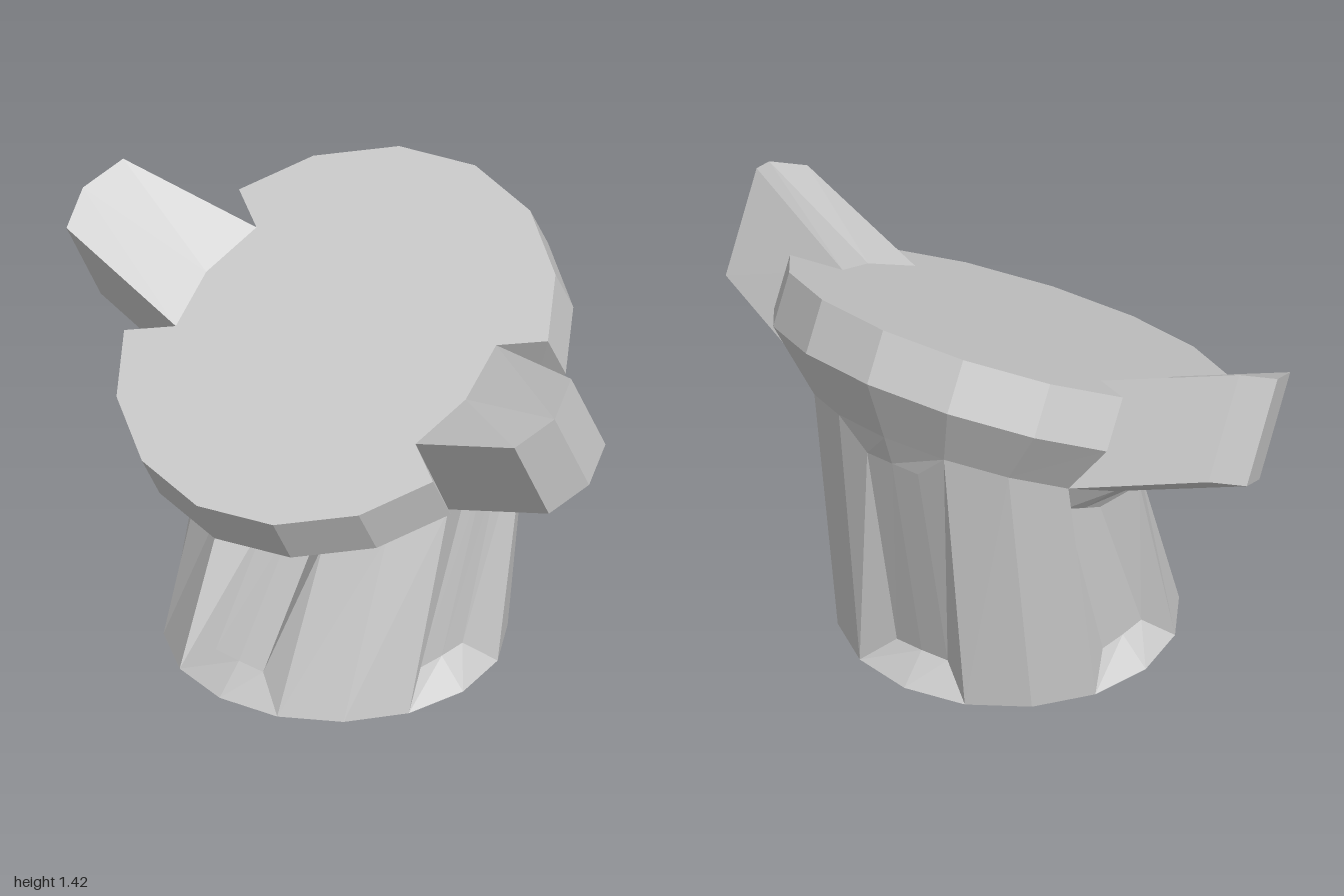
import * as THREE from 'three';

const STEP = 22.5; // sixteen-sided rounds
const TILT = Math.atan(0.504);

// A level is a plane with its centre at (0, y, z), tipped forward by tilt.
// point() puts a polar point on it: angle 0 is the front, 90 is +x.
const level = (y, z, tilt = TILT) => (angle, r) => {
  const a = THREE.MathUtils.degToRad(angle);
  const v = r * Math.cos(a);
  return new THREE.Vector3(r * Math.sin(a), y - v * Math.sin(tilt), z + v * Math.cos(tilt));
};
const base = level(0, 0.042, 0);
const grooveLow = level(0.095, 0.042, 0);
const grooveHigh = level(0.685, -0.16);
const neck = level(0.765, -0.12);
const rimLow = level(0.932, -0.043);
const top = level(1.092, 0.04);
const branchLow = level(0.93, -0.04);
const branchHigh = level(1.25, 0.12);

const R = { trunk: 0.54, groove: 0.458, rim: 0.726, notch: 0.55 };

// Triangles for a grid of points; rows run upwards, columns to the right.
function grid(rows) {
  const tris = [];
  for (let i = 0; i + 1 < rows.length; i++) {
    for (let j = 0; j + 1 < rows[i].length; j++) {
      const a = rows[i][j], b = rows[i][j + 1], c = rows[i + 1][j + 1], d = rows[i + 1][j];
      if (!a.equals(b)) tris.push(a, b, c);
      if (!c.equals(d)) tris.push(a, c, d);
    }
  }
  return tris;
}

// Four rows of three points, closed by a wall at either side.
function boxedGrid([r0, r1, r2, r3]) {
  return [
    ...grid([r0, r1, r2, r3]),
    ...grid([[r0[0], r1[0]], [r3[0], r2[0]]]),
    ...grid([[r1[2], r0[2]], [r2[2], r3[2]]]),
  ];
}

function range(from, to) {
  const angles = [];
  for (let a = from; a <= to; a += STEP) angles.push(a);
  return angles;
}

export function createModel() {
  const model = new THREE.Group();
  model.name = 'treeStump';
  const material = new THREE.MeshStandardMaterial({ color: 0xcccccc, flatShading: true });

  function add(name, points) {
    const geometry = new THREE.BufferGeometry().setFromPoints(points);
    geometry.computeVertexNormals();
    const mesh = new THREE.Mesh(geometry, material);
    mesh.name = name;
    model.add(mesh);
  }

  // Leaning trunk: four bark panels with a groove between each pair
  for (const turn of [0, 90, 180, 270]) {
    const panel = range(turn + STEP, turn + 3 * STEP);
    add('trunkPanel', grid([base, neck].map((at) => panel.map((a) => at(a, R.trunk)))));

    const outer = (at) => [-STEP, 0, STEP].map((d) => at(turn + d, R.trunk));
    const inner = (at) => [-12.6, 0, 12.6].map((d) => at(turn + d, d ? R.groove : R.groove - 0.008));
    add('trunkGroove', boxedGrid([outer(base), inner(grooveLow), inner(grooveHigh), outer(neck)]));
  }

  // Flat underside
  const ring = range(0, 360).map((a) => base(a, R.trunk));
  add('trunkBottom', grid([ring.map(() => base(0, 0)), ring]));

  // Flared rim in a front and a back half, with walls at the branch notches
  const topLoop = [];
  for (const turn of [0, 180]) {
    const arc = range(-3 * STEP, 3 * STEP);
    const rim = (at) => arc.map((d) =>
      Math.abs(d) > 60 ? at(turn + Math.sign(d) * 65.4, 0.72) : at(turn + d, R.rim));
    const ends = (at, r) => [at(turn - 3 * STEP, r), at(turn + 3 * STEP, r)];
    const low = rim(rimLow), high = rim(top);
    const [neckA, neckB] = ends(neck, R.trunk);
    const [notchA, notchB] = ends(top, R.notch);

    add('rimFlare', grid([arc.map((d) => neck(turn + d, R.trunk)), low]));
    add('rimEdge', grid([[neckA, ...low, neckB], [notchA, ...high, notchB]]));
    topLoop.push(notchA, ...high, notchB, top(turn + 90, R.notch));
  }

  // Slanted cut face
  topLoop.push(topLoop[0]);
  add('cutFace', grid([topLoop, topLoop.map(() => top(0, 0))]));

  // Short branch on each side
  for (const turn of [90, 270]) {
    const root = (at, r) => [-STEP, 0, STEP].map((d) => at(turn + d, r));
    const tip = (at) => [-8.85, 0, 8.85].map((d) => at(turn + d, d ? 0.961 : 1));
    add(turn === 90 ? 'leftBranch' : 'rightBranch', boxedGrid([
      root(neck, R.trunk), tip(branchLow), tip(branchHigh), root(top, R.notch),
    ]));
  }

  return model;
}
